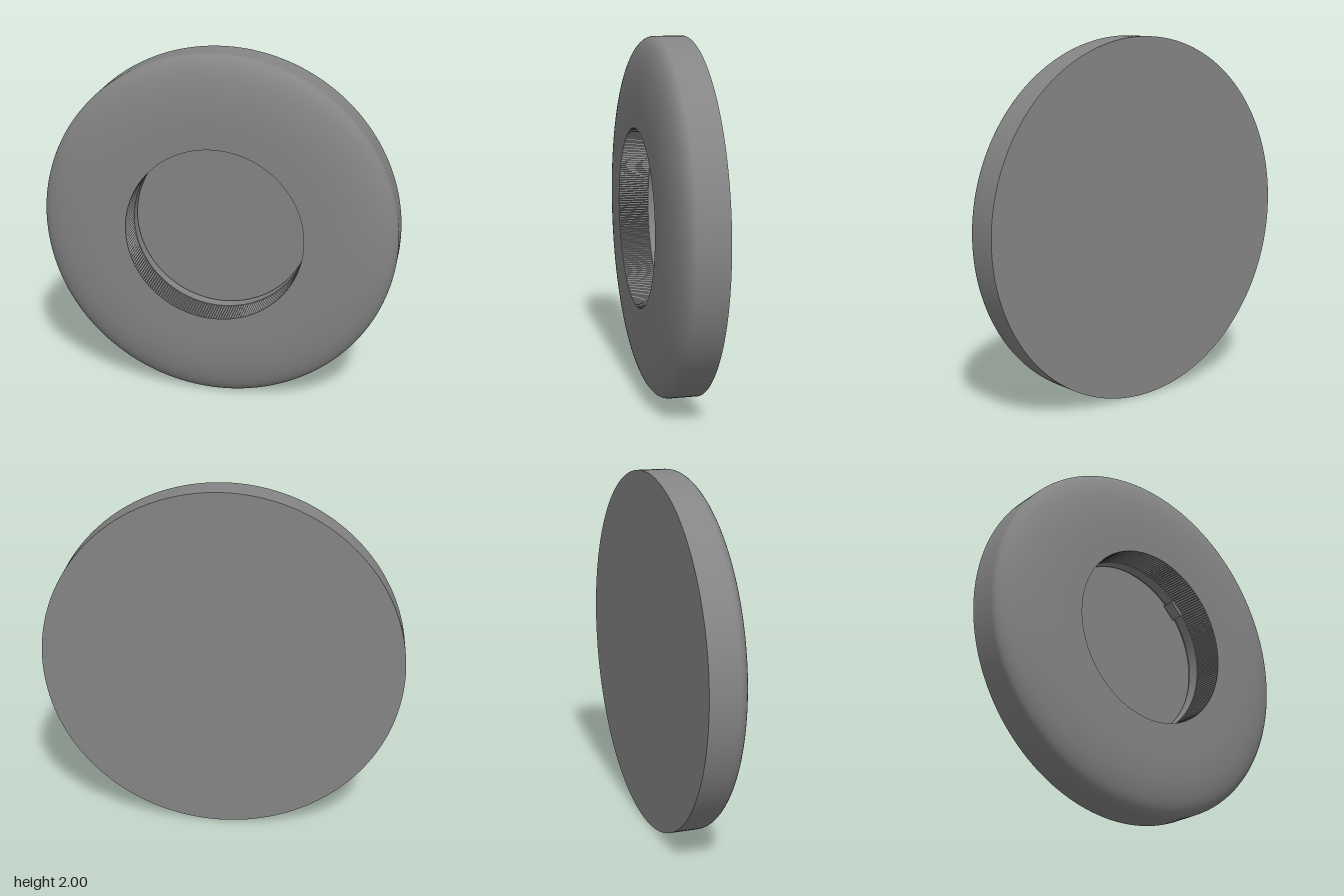
import * as THREE from 'three';

const SEGMENTS = 160;
const BACK = -0.135, FRONT = 0.135, SHOULDER = 0.02, FLOOR = -0.12;
const HOLE = 0.5, GROOVE = 0.51, GROOVE_TOP = -0.105, TEETH_END = -0.04, TEETH = 220;

export function createModel() {
  const group = new THREE.Group();
  const disc = new THREE.Group();
  disc.name = 'disc';
  disc.rotation.x = Math.PI / 2; // lathe axis y becomes z
  disc.position.y = 1;
  group.add(disc);

  const material = new THREE.MeshStandardMaterial({ color: 0x858585, side: THREE.DoubleSide });
  const add = (name, geometry, mat = material) => {
    const mesh = new THREE.Mesh(geometry, mat);
    mesh.name = name;
    disc.add(mesh);
    return mesh;
  };
  // Each sharp-edged section is its own lathe; points are [radius, z]
  const turn = (name, points) =>
    add(name, new THREE.LatheGeometry(points.map(([r, z]) => new THREE.Vector2(r, z)), SEGMENTS));

  turn('backFace', [[0, BACK], [1, BACK]]);

  // Straight rim flowing through a full, rounded shoulder into the front face
  const shell = [[1, BACK], [1, -0.06], [1, SHOULDER]];
  for (let i = 1; i < 24; i++) {
    const a = (i / 24) * Math.PI / 2;
    shell.push([
      0.61 + 0.39 * Math.cos(a) ** 0.88,
      SHOULDER + (FRONT - SHOULDER) * Math.sin(a) ** 0.88,
    ]);
  }
  shell.push([0.61, FRONT], [HOLE, FRONT]);
  turn('outerShell', shell);

  // Fine teeth around the front part of the recess wall
  const teeth = new THREE.CylinderGeometry(
    HOLE, HOLE, FRONT - TEETH_END, TEETH * 2, 1, true);
  const pos = teeth.attributes.position;
  for (let i = 0; i < pos.count; i++) {
    const k = (i % (TEETH * 2 + 1)) % 2 ? 1.016 : 1;
    pos.setX(i, pos.getX(i) * k);
    pos.setZ(i, pos.getZ(i) * k);
  }
  const toothMaterial = new THREE.MeshStandardMaterial({
    color: 0x858585, side: THREE.DoubleSide, flatShading: true });
  add('gripTeeth', teeth, toothMaterial).position.y = (FRONT + TEETH_END) / 2;

  // Smooth rear part of the recess with a narrow groove above the floor
  turn('toothLedge', [[GROOVE, TEETH_END], [HOLE, TEETH_END]]);
  turn('recessWall', [[HOLE, TEETH_END], [HOLE, GROOVE_TOP]]);
  turn('grooveLedge', [[HOLE, GROOVE_TOP], [GROOVE, GROOVE_TOP]]);
  turn('grooveWall', [[GROOVE, GROOVE_TOP], [GROOVE, FLOOR]]);
  turn('recessFloor', [[GROOVE, FLOOR], [0, FLOOR]]);

  // Small locating tab on the upper left of the recess wall
  const tab = new THREE.Mesh(new THREE.BoxGeometry(0.02, 0.1, 0.07), material);
  tab.name = 'locatingTab';
  tab.position.set(0.493 * Math.SQRT1_2, 1 + 0.493 * Math.SQRT1_2, -0.075);
  tab.rotation.z = Math.PI / 4;
  group.add(tab);

  return group;
}
